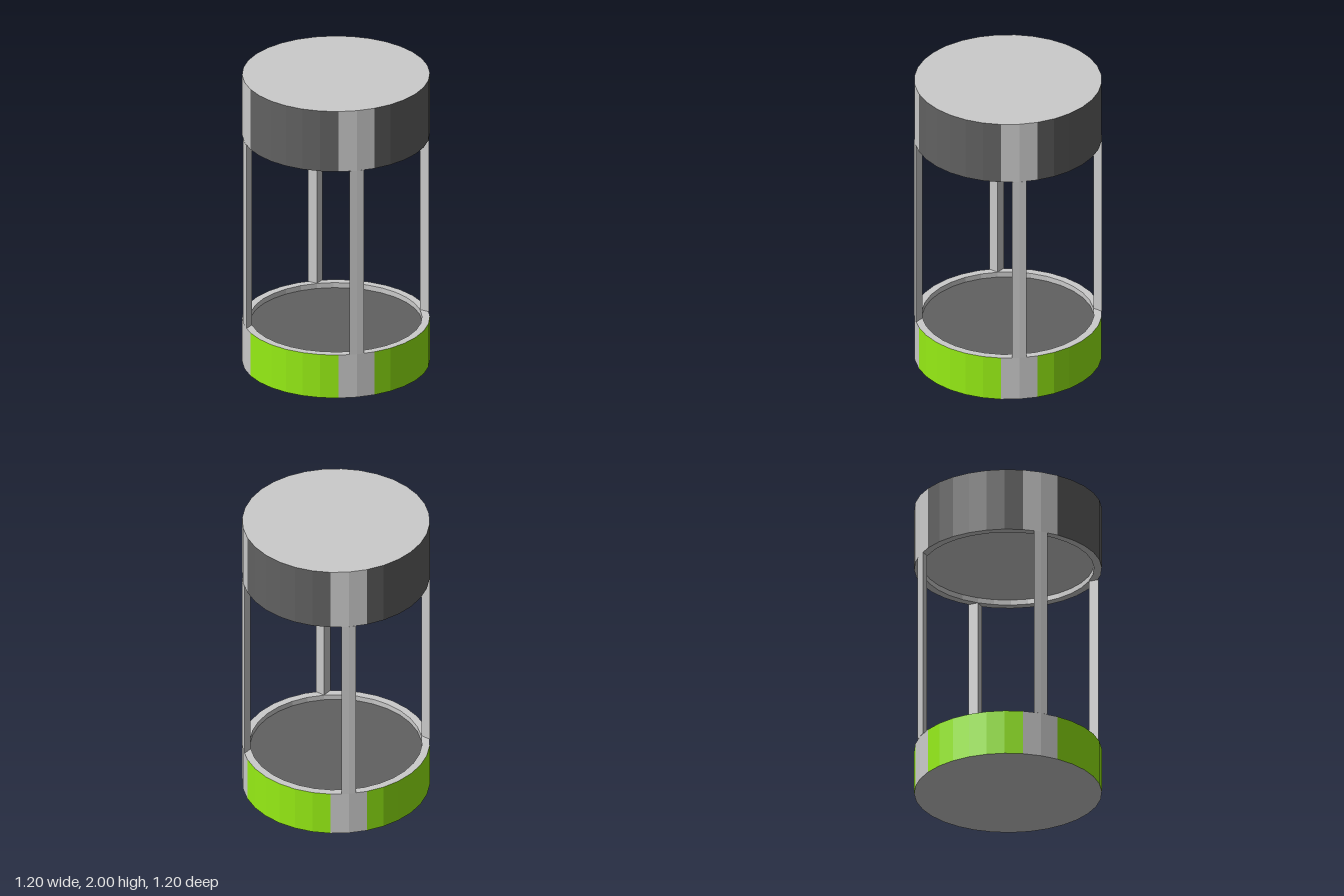
import * as THREE from 'three';

const R = 0.6, INNER = 0.55, SIDES = 32, STEP = (Math.PI * 2) / SIDES;
const POST_BOTTOM = 0.3, POST_TOP = 1.58, RECESS = 0.035;

const mat = (color, side = THREE.FrontSide) =>
  new THREE.MeshStandardMaterial({ color, side, flatShading: true });
const grey = mat(0xcccccc);
const greyInside = mat(0xcccccc, THREE.DoubleSide);
const dark = mat(0x616161);
const green = mat(0x96ed14);

function add(parent, name, geometry, material, y = 0) {
  const mesh = new THREE.Mesh(geometry, material);
  mesh.name = name;
  mesh.position.y = y;
  parent.add(mesh);
  return mesh;
}

// Open strip of wall facets, counted in 32nds of a turn
function wall(radius, y0, y1, first, count) {
  return new THREE.CylinderGeometry(radius, radius, y1 - y0, count, 1, true, first * STEP, count * STEP)
    .translate(0, (y0 + y1) / 2, 0);
}

// Horizontal disc or ring, facing up (1) or down (-1)
const disc = (radius, facing) => new THREE.CircleGeometry(radius, SIDES).rotateX(-facing * Math.PI / 2);
const ring = (facing) => new THREE.RingGeometry(INNER, R, SIDES).rotateX(-facing * Math.PI / 2);

// Drum: coloured wall with four grey corner panels and a shallow recess on one end
function drum(name, y0, y1, sideMaterial, facing, floorMaterial) {
  const group = new THREE.Group();
  group.name = name;
  for (let i = 0; i < 4; i++) {
    add(group, 'cornerPanel', wall(R, y0, y1, 3 + i * 8, 2), grey);
    add(group, 'sideWall', wall(R, y0, y1, 5 + i * 8, 6), sideMaterial);
  }
  const open = facing > 0 ? y1 : y0;
  const closed = facing > 0 ? y0 : y1;
  const floor = open - facing * RECESS;
  add(group, 'outerEnd', disc(R, -facing), grey, closed);
  add(group, 'rim', ring(facing), grey, open);
  add(group, 'recessWall', wall(INNER, Math.min(open, floor), Math.max(open, floor), 0, SIDES), greyInside);
  add(group, 'recessFloor', disc(INNER, facing), floorMaterial, floor);
  return group;
}

// Post section: square inner corner, outer side following the drum's facets
function postGeometry() {
  const a = 0.39, b = 0.456, c = R * Math.SQRT1_2;
  const shape = new THREE.Shape([[a, a], [b, a], [c, c], [a, b]].map(([x, y]) => new THREE.Vector2(x, y)));
  return new THREE.ExtrudeGeometry(shape, { depth: POST_TOP - POST_BOTTOM, bevelEnabled: false })
    .rotateX(-Math.PI / 2);
}

export function createModel() {
  const model = new THREE.Group();
  model.name = 'lanternFrame';
  model.add(drum('base', 0, POST_BOTTOM, green, 1, dark));
  model.add(drum('cap', POST_TOP, 2, dark, -1, grey));

  // Four corner posts
  const post = postGeometry();
  for (let i = 0; i < 4; i++) {
    add(model, 'post', post, grey, POST_BOTTOM).rotation.y = (i * Math.PI) / 2;
  }
  return model;
}
